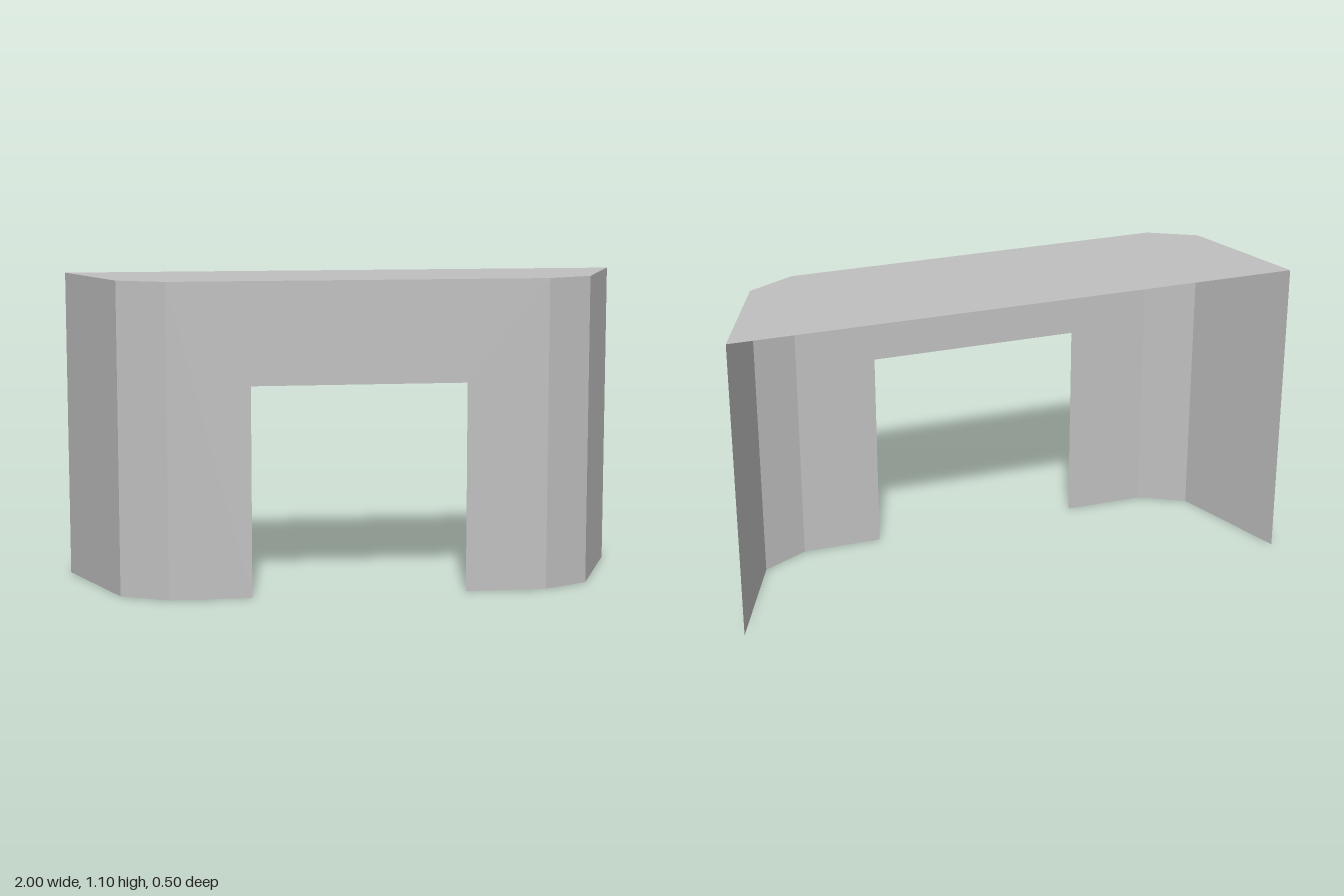
import * as THREE from 'three';

const HEIGHT = 1.1;
// Footprint from back right to back left, as [x, z]
const OUTLINE = [[-1, -0.25], [-0.83, 0.165], [-0.665, 0.25], [0.665, 0.25], [0.83, 0.165], [1, -0.25]];
const DOOR = { halfWidth: 0.377, height: 0.74 };

function shapeFrom(points) {
  return new THREE.Shape(points.map(([x, y]) => new THREE.Vector2(x, y)));
}

export function createModel() {
  const group = new THREE.Group();
  group.name = 'surround';
  const grey = new THREE.MeshStandardMaterial({ color: 0xc0c0c0, side: THREE.DoubleSide });
  grey.name = 'light grey';

  const add = (name, geometry) => {
    const mesh = new THREE.Mesh(geometry, grey);
    mesh.name = name;
    group.add(mesh);
    return mesh;
  };

  // Flat top sheet
  const top = new THREE.ShapeGeometry(shapeFrom(OUTLINE.map(([x, z]) => [x, -z])));
  add('topPanel', top.rotateX(-Math.PI / 2)).position.y = HEIGHT;

  // Front sheet with the opening cut up from the floor
  const w = OUTLINE[3][0], d = DOOR.halfWidth, h = DOOR.height;
  const front = shapeFrom([[-w, 0], [-d, 0], [-d, h], [d, h], [d, 0], [w, 0], [w, HEIGHT], [-w, HEIGHT]]);
  add('frontPanel', new THREE.ShapeGeometry(front)).position.z = OUTLINE[3][1];

  // Upright sheet standing on one edge of the footprint
  const addWall = (name, i) => {
    const [ax, az] = OUTLINE[i], [bx, bz] = OUTLINE[i + 1];
    const wall = add(name, new THREE.PlaneGeometry(Math.hypot(bx - ax, bz - az), HEIGHT));
    wall.position.set((ax + bx) / 2, HEIGHT / 2, (az + bz) / 2);
    wall.rotation.y = Math.atan2(az - bz, bx - ax);
  };
  addWall('rightSide', 0);
  addWall('rightChamfer', 1);
  addWall('leftChamfer', 3);
  addWall('leftSide', 4);

  return group;
}
